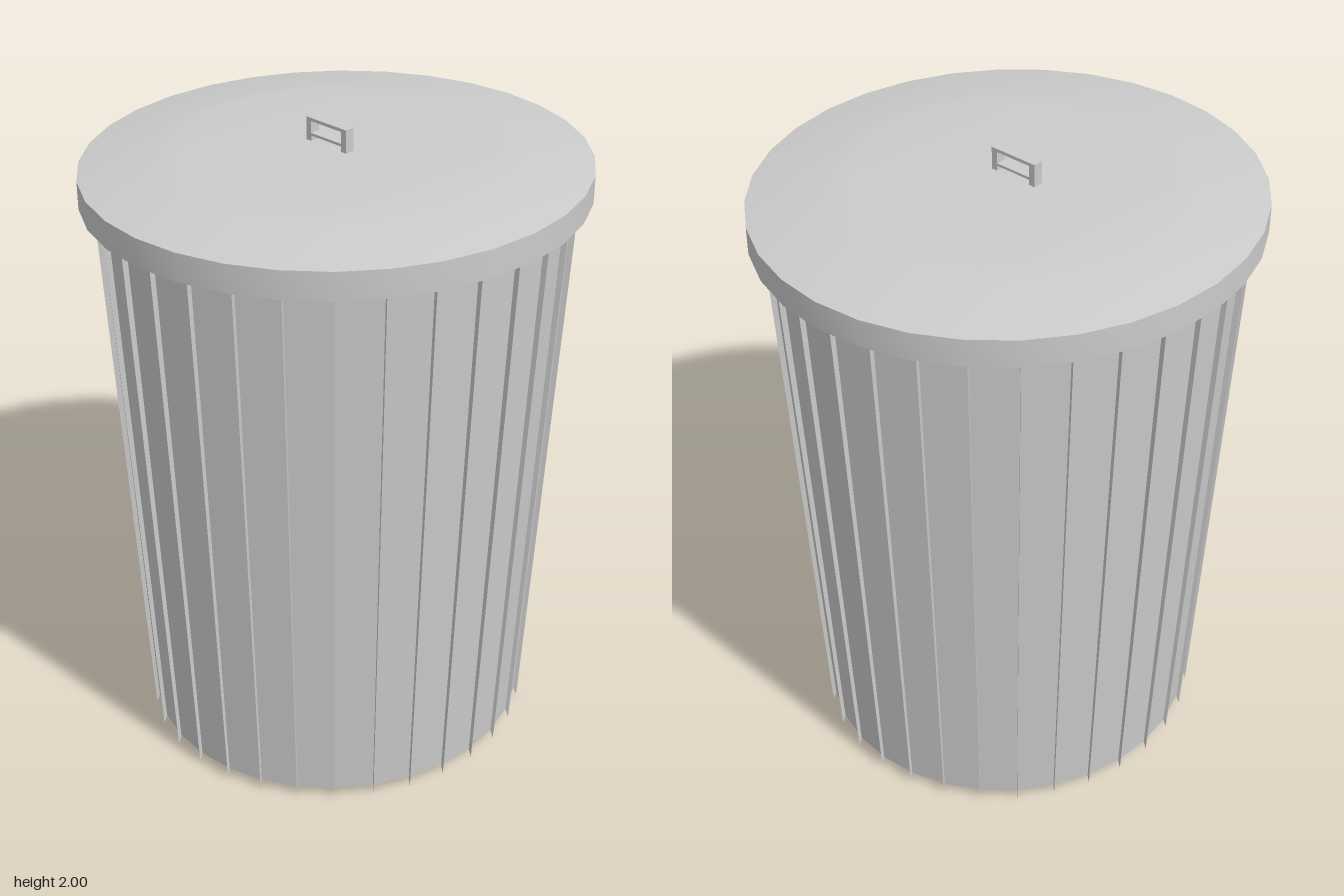
import * as THREE from 'three';
import { toCreasedNormals } from 'three/addons/utils/BufferGeometryUtils.js';

const SIDES = 32;
const STRETCH = 1.04; // the bin is slightly deeper than wide

export function createModel() {
  const group = new THREE.Group();
  const grey = new THREE.MeshStandardMaterial({ color: 0xcccccc });
  const thin = new THREE.MeshStandardMaterial({ color: 0xcccccc, side: THREE.DoubleSide });

  const add = (name, geometry, material = grey) => {
    const mesh = new THREE.Mesh(geometry, material);
    mesh.name = name;
    group.add(mesh);
    return mesh;
  };
  const turned = (points, crease) => {
    const profile = points.map(([r, y]) => new THREE.Vector2(r, y));
    const lathe = new THREE.LatheGeometry(profile, SIDES).scale(1, 1, STRETCH);
    return toCreasedNormals(lathe, crease);
  };

  // Tapered faceted body with a closed floor
  add('body', turned([[0, 0.03], [0.592, 0.03], [0.68, 1.85]], 0.1), thin);

  // Lid: annular underside, upright rim, sloped shoulder and flat crown
  add('lid', turned([
    [0.67, 1.8], [0.735, 1.8], [0.735, 1.885], [0.52, 1.925], [0.45, 1.929], [0, 1.93],
  ], 0.6), thin);

  // Paper-thin fins standing on every edge of the body
  const positions = [];
  for (let i = 0; i < SIDES; i++) {
    const a = (i / SIDES) * Math.PI * 2;
    const point = (r, y) => [r * Math.sin(a), y, r * Math.cos(a) * STRETCH];
    const [p, q, s, t] = [point(0.59, 0.03), point(0.602, 0), point(0.695, 1.81), point(0.677, 1.81)];
    positions.push(...p, ...q, ...s, ...p, ...s, ...t);
  }
  const fins = new THREE.BufferGeometry();
  fins.setAttribute('position', new THREE.Float32BufferAttribute(positions, 3));
  fins.computeVertexNormals();
  add('fins', fins, thin);

  // Handle: a small upright frame on two short legs
  const bar = (x, y, w, h) => {
    const mesh = add('handleBar', new THREE.BoxGeometry(w, h, 0.032));
    mesh.position.set(x, y, 0.016);
  };
  bar(-0.015, 1.995, 0.16, 0.01);
  bar(-0.015, 1.95, 0.12, 0.008);
  for (const side of [-1, 1]) bar(-0.015 + side * 0.07, 1.958, 0.02, 0.064);

  return group;
}
